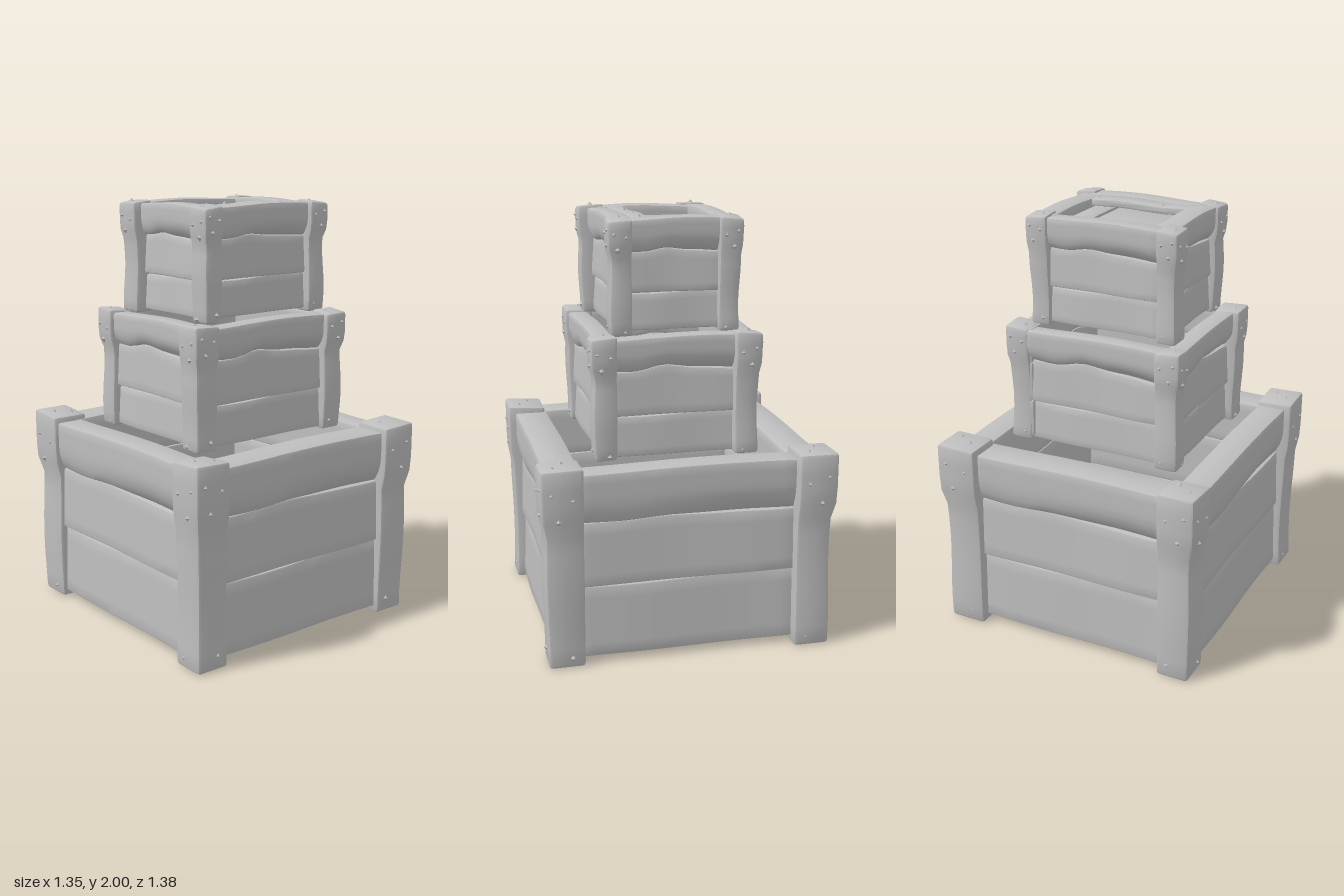
import * as THREE from 'three';
import { mergeVertices, toCreasedNormals } from 'three/addons/utils/BufferGeometryUtils.js';

// Box with bevelled edges and spare segments, bent by warp(p, u, v, w); u, v, w run -1..1
function block(size, r, segs, warp) {
  const g = new THREE.BoxGeometry(2, 2, 2, ...segs);
  g.deleteAttribute('uv');
  g.deleteAttribute('normal');
  const pos = g.attributes.position;
  const axes = ['x', 'y', 'z'];
  const p = new THREE.Vector3(), core = new THREE.Vector3();
  for (let i = 0; i < pos.count; i++) {
    p.fromBufferAttribute(pos, i);
    axes.forEach((a, k) => {
      const h = size[k] / 2, n = segs[k];
      const step = Math.round((p[a] + 1) / 2 * n);
      // the outer segments become the bevel, the rest share the core
      if (step === 0) p[a] = -h;
      else if (step === n) p[a] = h;
      else p[a] = (h - r) * (-1 + 2 * (step - 1) / (n - 2));
      core[a] = THREE.MathUtils.clamp(p[a], r - h, h - r);
    });
    p.sub(core);
    if (p.length() > r) p.setLength(r);
    p.add(core);
    warp(p, 2 * p.x / size[0], 2 * p.y / size[1], 2 * p.z / size[2]);
    pos.setXYZ(i, p.x, p.y, p.z);
  }
  const merged = mergeVertices(g, 1e-5);
  merged.computeVertexNormals();
  return toCreasedNormals(merged, 0.7);
}

export function createModel() {
  const model = new THREE.Group();
  model.name = 'crateStack';
  const grey = new THREE.MeshStandardMaterial({ color: 0xbebebe });
  grey.name = 'plain grey';

  const add = (parent, name, geometry, x = 0, y = 0, z = 0) => {
    const m = new THREE.Mesh(geometry, grey);
    m.name = name;
    m.position.set(x, y, z);
    parent.add(m);
    return m;
  };

  // Faceted bolt head pointing along a normal
  const boltGeo = toCreasedNormals(new THREE.ConeGeometry(0.02, 0.018, 4), 0.1);
  const up = new THREE.Vector3(0, 1, 0);
  const bolt = (parent, x, y, z, nx, ny, nz) => {
    const m = add(parent, 'bolt', boltGeo, x, y, z);
    m.quaternion.setFromUnitVectors(up, new THREE.Vector3(nx, ny, nz));
  };

  // Corner post whose head flares outwards like a metal cap
  function post(parent, [x0, x1, z0, z1], y0, y1, flare, seed) {
    const sx = Math.sign(x0 + x1), sz = Math.sign(z0 + z1);
    const w = x1 - x0, d = z1 - z0, h = y1 - y0;
    const cx = (x0 + x1) / 2, cy = (y0 + y1) / 2, cz = (z0 + z1) / 2;
    const geo = block([w, h, d], 0.015, [4, 14, 4], (p, u, v, ww) => {
      const t = THREE.MathUtils.smoothstep(v, 0.3, 0.55);
      const wave = 0.004 * Math.sin(v * 4 + seed);
      const inset = flare * (1 - t) + wave * (1 - t);
      if (u * sx > 0) p.x -= sx * inset;
      if (ww * sz > 0) p.z -= sz * inset;
      if (v > 0.8) p.y -= 0.006 * (1 + Math.sin(seed * 2) * u + Math.cos(seed) * ww);
    });
    add(parent, 'cornerPost', geo, cx, cy, cz);
    // bolts on both outer faces: [across, height fraction]
    for (const [a, f] of [[0.26, 0.9], [-0.24, 0.87], [0.1, 0.77], [-0.2, 0.07]]) {
      const inset = f < 0.5 ? flare : 0;
      const y = y0 + f * h;
      bolt(parent, cx + a * w * sx, y, cz + sz * (d / 2 - inset), 0, 0, sz);
      bolt(parent, cx + sx * (w / 2 - inset), y - 0.02, cz + a * d * sz, sx, 0, 0);
    }
    // bolts on the top
    bolt(parent, cx - 0.17 * w, y1 - 0.003, cz - 0.05 * d, 0, 1, 0);
    if (h > 0.8) bolt(parent, cx + 0.2 * w, y1 - 0.003, cz + 0.2 * d, 0, 1, 0);
  }

  // Three worn boards of one side; the top one rolls under at its lower edge
  function side(parent, c, angle, length, outer, inner, shift) {
    const g = new THREE.Group();
    g.name = 'crateSide';
    g.rotation.y = angle;
    g.position.set(c.cx, 0, 0);
    parent.add(g);
    const names = ['bottomBoard', 'middleBoard', 'topBoard'];
    const hump = (u) => c.hump * (Math.exp(-(((u + 0.2) / 0.28) ** 2)) + 0.2 * Math.sin(5 * u));
    for (let i = 0; i < 3; i++) {
      const y0 = c.seams[i], y1 = c.seams[i + 1];
      const back = i === 2 ? 0 : 0.02;
      const depth = outer - inner - back;
      const geo = block([length, y1 - y0, depth], 0.01, [16, 8, 4], (p, u, v, w) => {
        if (i === 2) {
          p.y += hump(u) * (1 - v) / 2 + 0.006 * Math.sin(2.5 * u + 1) * (1 + v) / 2;
          if (w > 0 && v < 0) p.z -= c.roll * v * v * (1 + 0.4 * Math.sin(3 * u));
        } else {
          // follow the board above, and belly out towards the foot
          if (i === 1) p.y += hump(u) * (1 + v) / 2;
          else p.y += 0.005 * Math.sin(3 * u) * (1 + v) / 2;
          if (w > 0) p.z -= 0.012 * (1 + v) / 2 + 0.004 * Math.sin(4 * u + i * 2);
        }
      });
      add(g, names[i], geo, shift, (y0 + y1) / 2, inner + depth / 2);
    }
  }

  const crates = [
    {
      name: 'largeCrate', y: [0, 0.945], seams: [0.03, 0.37, 0.67, 0.91], hump: 0.012, roll: 0.035,
      flare: 0.02, cx: -0.005, length: 1.06, outer: [0.645, 0.615, 0.645, 0.625], inner: 0.485, shift: 0,
      posts: [[-0.65, -0.47, -0.685, -0.49], [0.465, 0.665, -0.685, -0.5],
        [-0.665, -0.485, 0.495, 0.68], [0.46, 0.645, 0.485, 0.675]],
    },
    {
      name: 'middleCrate', y: [0.9, 1.475], seams: [0.91, 1.1, 1.3, 1.46], hump: 0.035, roll: 0.035,
      flare: 0.014, cx: -0.005, length: 0.72, outer: [0.385, 0.425, 0.375, 0.42], inner: 0.29, shift: 0,
      posts: [[-0.445, -0.32, -0.405, -0.29], [0.335, 0.455, -0.38, -0.255],
        [-0.455, -0.32, 0.265, 0.4], [0.315, 0.44, 0.29, 0.41]],
    },
    {
      name: 'smallCrate', y: [1.465, 1.99], seams: [1.48, 1.65, 1.83, 1.98], hump: 0.022, roll: 0.03,
      flare: 0.012, cx: 0.01, length: 0.6, outer: [0.295, 0.345, 0.29, 0.35], inner: 0.2, shift: 0,
      posts: [[-0.38, -0.275, -0.3, -0.17], [0.265, 0.375, -0.305, -0.195],
        [-0.355, -0.25, 0.215, 0.34], [0.285, 0.395, 0.21, 0.32]],
    },
  ];

  crates.forEach((c, k) => {
    const crate = new THREE.Group();
    crate.name = c.name;
    model.add(crate);
    c.posts.forEach((b, i) => post(crate, b, c.y[0], c.y[1], c.flare, i * 1.7 + k));
    // front, left, back, right
    c.outer.forEach((o, i) => {
      const inner = k > 0 && i % 2 ? c.inner + 0.04 : c.inner;
      side(crate, c, i * Math.PI / 2, c.length - (k === 2 && i % 2 ? 0.1 : 0), o, inner, c.shift);
    });
  });

  // Sunken lid of the small crate, with two battens
  const lid = new THREE.Group();
  lid.name = 'lid';
  model.add(lid);
  const still = () => {};
  add(lid, 'lidPanel', block([0.56, 0.03, 0.46], 0.005, [4, 3, 4], still), 0.01, 1.92, 0);
  add(lid, 'sideBatten', block([0.1, 0.02, 0.4], 0.005, [4, 3, 4], still), 0.185, 1.938, 0);
  add(lid, 'frontBatten', block([0.515, 0.035, 0.085], 0.01, [10, 4, 4], (p, u) => {
    p.z -= 0.008 * u;
    p.y += 0.004 * Math.sin(4 * u);
  }), 0, 1.963, 0.155);
  for (const x of [-0.1, 0.11, 0.235]) bolt(lid, x, 1.982, 0.15, 0, 1, 0);

  return model;
}
